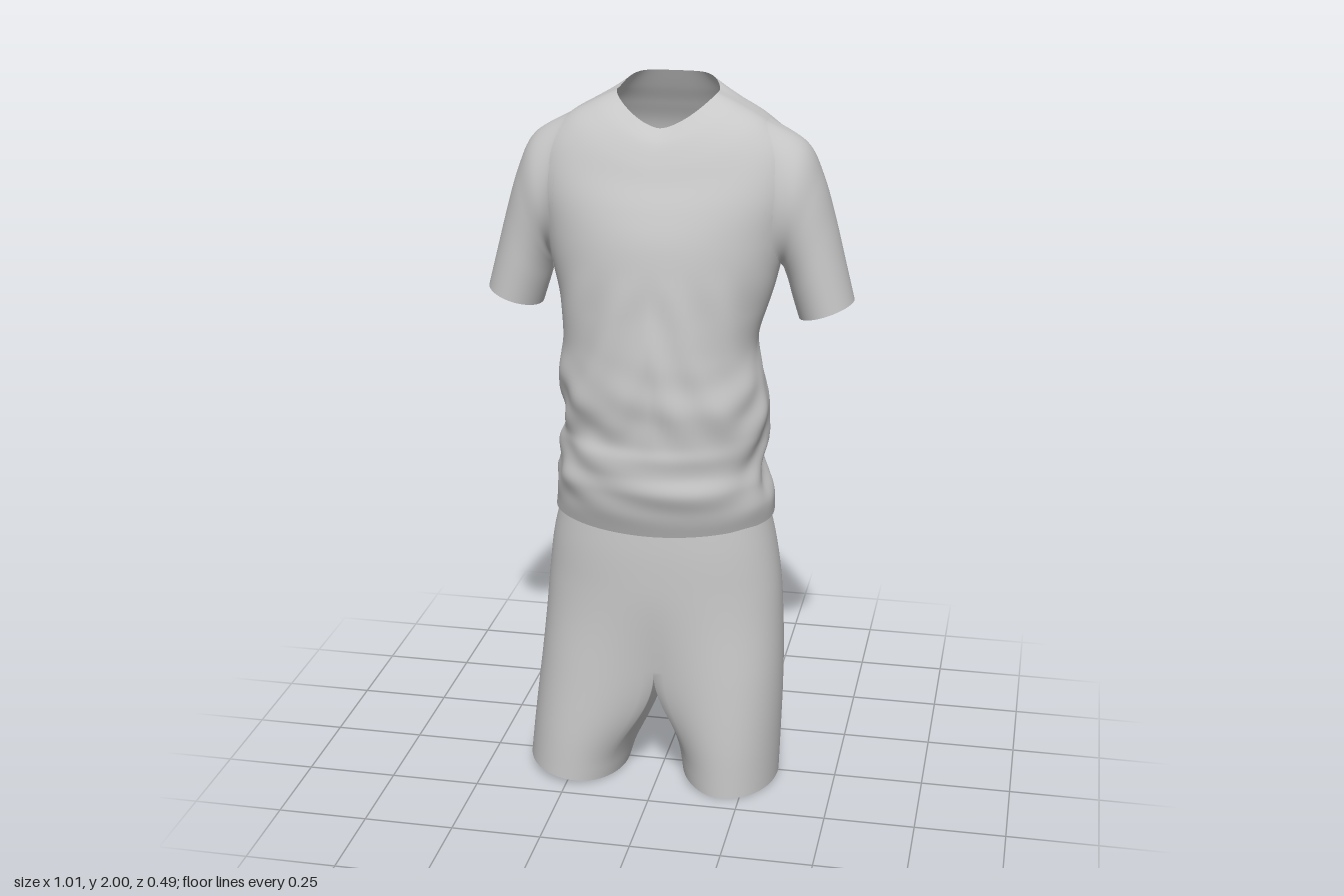
import * as THREE from 'three';
import { mergeGeometries, mergeVertices } from 'three/addons/utils/BufferGeometryUtils.js';

const fabric = new THREE.MeshStandardMaterial({ color: 0xc8c8c8, side: THREE.DoubleSide });
fabric.name = 'light grey fabric';

const spow = (v, p) => Math.sign(v) * Math.pow(Math.abs(v), p);
const smooth = (v, a, b) => THREE.MathUtils.smoothstep(v, a, b);

// Smoothly sample a table of key rows at t in 0..1 (Catmull-Rom per column)
function sample(keys, t) {
  const n = keys.length - 1, f = t * n, i = Math.min(Math.floor(f), n - 1), u = f - i;
  const k = (j) => keys[Math.max(0, Math.min(n, j))];
  return keys[0].map((_, c) => {
    const a = k(i - 1)[c], b = k(i)[c], d = k(i + 1)[c], e = k(i + 2)[c];
    return 0.5 * (2 * b + (d - a) * u + (2 * a - 5 * b + 4 * d - e) * u * u + (3 * b - a - 3 * d + e) * u ** 3);
  });
}

// Surface through rows of points; flip reverses the faces, skip(i, j) leaves a cell open
function loft(rows, { closed = true, flip = false, skip = () => false } = {}) {
  const cols = rows[0].length, index = [];
  for (let i = 0; i < rows.length - 1; i++) {
    for (let j = 0; j < (closed ? cols : cols - 1); j++) {
      if (skip(i, j)) continue;
      const a = i * cols + j, b = i * cols + ((j + 1) % cols), c = a + cols, d = b + cols;
      if (flip) index.push(a, d, b, a, c, d);
      else index.push(a, b, d, a, d, c);
    }
  }
  const g = new THREE.BufferGeometry();
  g.setAttribute('position', new THREE.Float32BufferAttribute(rows.flat(2), 3));
  g.setIndex(index);
  return g;
}

function part(geometry, name) {
  geometry.computeVertexNormals();
  const mesh = new THREE.Mesh(geometry, fabric);
  mesh.name = name;
  return mesh;
}

// Torso keys: front y, side y, back y, left width, right width, front z, back z
const torsoKeys = [
  [0.79, 0.80, 0.80, 0.305, 0.31, 0.200, -0.225],
  [0.86, 0.86, 0.86, 0.305, 0.30, 0.225, -0.210],
  [0.92, 0.92, 0.92, 0.285, 0.295, 0.240, -0.195],
  [0.97, 0.97, 0.97, 0.275, 0.285, 0.235, -0.190],
  [1.02, 1.02, 1.02, 0.285, 0.285, 0.240, -0.218],
  [1.06, 1.06, 1.06, 0.290, 0.275, 0.235, -0.203],
  [1.12, 1.12, 1.12, 0.290, 0.275, 0.238, -0.170],
  [1.20, 1.20, 1.20, 0.275, 0.285, 0.240, -0.167],
  [1.30, 1.30, 1.30, 0.260, 0.270, 0.235, -0.185],
  [1.40, 1.40, 1.40, 0.280, 0.285, 0.225, -0.205],
  [1.50, 1.50, 1.50, 0.305, 0.305, 0.215, -0.222],
  [1.60, 1.60, 1.60, 0.328, 0.328, 0.200, -0.235],
  [1.68, 1.72, 1.72, 0.350, 0.350, 0.175, -0.242],
  [1.75, 1.82, 1.83, 0.335, 0.335, 0.145, -0.225],
  [1.80, 1.89, 1.90, 0.275, 0.275, 0.125, -0.195],
  [1.85, 1.935, 1.95, 0.200, 0.200, 0.100, -0.168],
  [1.885, 1.965, 2.0, 0.135, 0.135, 0.070, -0.143],
];

// Armhole: an ellipse on the shirt body, in key rows and in angle about the side
const armhole = { row: 12.15, rise: 1.95, spread: 0.52 };
const lastKey = torsoKeys.length - 1;

// Point on the shirt body at height t (0..1) and angle a (0 = front, PI/2 = left side)
function torsoPoint(t, a) {
  const [yf, ys, yb, wl, wr, zf, zb] = sample(torsoKeys, t);
  const s = Math.sin(a), c = Math.cos(a), front = c > 0;
  const broad = smooth(ys, 1.35, 1.65) * (1 - 0.4 * smooth(ys, 1.8, 1.95));
  const p = front ? 1 : 0.78 - 0.24 * broad, mid = (zf + zb) / 2, half = (zf - zb) / 2;
  const y = front ? yf + (ys - yf) * Math.abs(s) ** 1.6 : yb + (ys - yb) * Math.abs(s) ** 4;
  // gathered waist folds and long slanting folds below the chest
  const waist = smooth(y, 0.81, 0.92) * (1 - smooth(y, 1.12, 1.32));
  const belly = smooth(y, 1.0, 1.15) * (1 - smooth(y, 1.4, 1.55));
  const fold = waist * (0.004 * Math.sin(48 * y + 7 * c + 4 * s) + 0.005 * Math.sin(34 * y - 5 * a + 4 * Math.sin(2 * a)))
    + belly * 0.006 * Math.sin(20 * y + 15 * Math.abs(s) + s);
  return [(s > 0 ? wl : wr) * spow(s, p) + fold * s * 0.7, y, mid + half * spow(c, p) + fold * c * 0.6];
}

function torso() {
  const R = 128, C = 96;
  const rows = Array.from({ length: R + 1 }, (_, i) =>
    Array.from({ length: C }, (_, j) => torsoPoint(i / R, (j / C) * Math.PI * 2)));
  // open the body where the sleeves grow out
  const skip = (i, j) => {
    const v = (((i + 0.5) / R) * lastKey - armhole.row) / armhole.rise;
    const a = ((j + 0.5) / C) * Math.PI * 2;
    const u = (Math.abs(a - Math.PI) - Math.PI / 2) / armhole.spread;
    return u * u + v * v < 0.95;
  };
  return part(loft(rows, { skip }), 'shirtBody');
}

// Sleeve rings: outer x, outer y, inner x, inner y, centre z, half depth
const sleeveRings = [
  [0.368, 1.835, 0.314, 1.500, -0.066, 0.124],
  [0.414, 1.745, 0.321, 1.480, -0.072, 0.118],
  [0.449, 1.63, 0.328, 1.458, -0.073, 0.111],
  [0.479, 1.515, 0.339, 1.420, -0.070, 0.104],
  [0.506, 1.41, 0.358, 1.360, -0.068, 0.098],
];

// Sleeve grown out of the armhole, overlapping the shirt body by a narrow band
function sleeve(side) {
  const R = 48, C = 64, columns = [];
  for (let j = 0; j < C; j++) {
    const phi = (j / C) * Math.PI * 2, c = Math.cos(phi), s = Math.sin(phi), u = (1 + c) / 2;
    const rim = (k) =>
      torsoPoint((armhole.row + armhole.rise * k * c) / lastKey, Math.PI / 2 - armhole.spread * k * s);
    columns.push([rim(1.2), rim(1), ...sleeveRings.map(([ox, oy, ix, iy, z, depth]) =>
      [ix + (ox - ix) * u, iy + (oy - iy) * u, z + depth * s])]);
  }
  const rows = Array.from({ length: R + 1 }, (_, i) => columns.map((keys) => sample(keys, i / R)));
  const mesh = part(loft(rows, { flip: true }), side > 0 ? 'leftSleeve' : 'rightSleeve');
  mesh.scale.x = side;
  return mesh;
}

// Shorts keys from hem to waist: y, left outer, right outer, left inner, right inner, front z, back z
const crotchY = 0.37;
const shortsKeys = [
  [0.005, 0.335, 0.39, 0.06, 0.105, 0.197, -0.183],
  [0.13, 0.339, 0.378, 0.042, 0.068, 0.197, -0.186],
  [0.25, 0.342, 0.366, 0.022, 0.032, 0.197, -0.192],
  [crotchY, 0.342, 0.353, 0, 0, 0.197, -0.203],
  [0.49, 0.338, 0.341, 0, 0, 0.196, -0.212],
  [0.61, 0.330, 0.330, 0, 0, 0.195, -0.215],
  [0.73, 0.312, 0.315, 0, 0, 0.193, -0.213],
  [0.85, 0.285, 0.285, 0, 0, 0.185, -0.190],
];

// One leg: a half body outline that closes into a tube below the crotch
function leg(side) {
  const outer = [], inner = [], R = 56, C = 48, gap = 0.72;
  for (let i = 0; i <= R; i++) {
    const [y, ol, or, il, ir, zf, zb] = sample(shortsKeys, i / R);
    const o = side > 0 ? ol : or, n = side > 0 ? il : ir;
    const kx = 1 - smooth(y, 0.05, crotchY), kz = 1 - smooth(y, 0.1, 0.64);
    const mid = (zf + zb) / 2, half = (zf - zb) / 2;
    const point = (phi, bodyX, bodyZ) => {
      const ex = (n + o) / 2 + ((o - n) / 2) * Math.sin(phi);
      const x = THREE.MathUtils.lerp(bodyX, ex, kx);
      const lift = side < 0 ? 0.024 * smooth(x, 0.1, 0.39) * kx : 0.015 * (1 - smooth(x, 0.05, 0.18)) * kx;
      return [side * x, y + lift, mid + half * THREE.MathUtils.lerp(bodyZ, Math.cos(phi), kz)];
    };
    const rowOut = [], rowIn = [];
    for (let j = 0; j <= C; j++) {
      const t = j / C, a = t * Math.PI;
      rowOut.push(point(-gap + t * (Math.PI + 2 * gap), o * Math.pow(Math.abs(Math.sin(a)), 0.9), spow(Math.cos(a), 0.9)));
    }
    for (let j = 0; j <= 20; j++) {
      const t = j / 20;
      rowIn.push(point(Math.PI + gap + t * (Math.PI - 2 * gap), 0, 2 * t - 1));
    }
    outer.push(rowOut);
    if (i <= (R * 3) / 7) inner.push(rowIn);
  }
  return [outer, inner].map((rows) => loft(rows, { closed: false, flip: side < 0 }));
}

export function createModel() {
  const model = new THREE.Group();
  model.name = 'sportsOutfit';

  const shirt = new THREE.Group();
  shirt.name = 'shirt';
  shirt.add(torso(), sleeve(1), sleeve(-1));

  const shorts = part(mergeVertices(mergeGeometries([...leg(1), ...leg(-1)]), 1e-4), 'shorts');
  model.add(shirt, shorts);
  return model;
}
